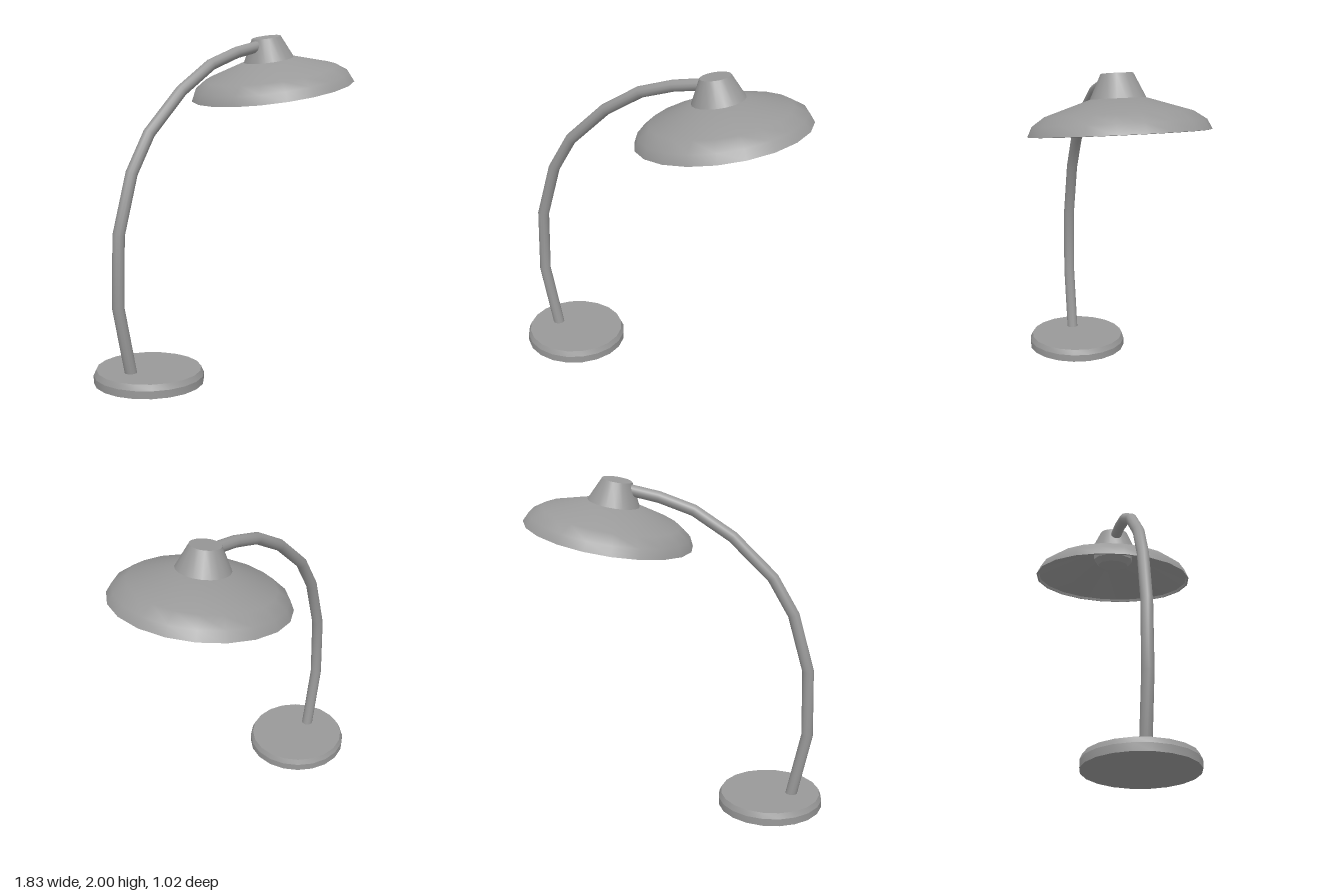
import * as THREE from 'three';
import { toCreasedNormals } from 'three/addons/utils/BufferGeometryUtils.js';

const material = () => new THREE.MeshStandardMaterial({ color: 0x999999 });

// Turned part: profile of [radius, height] pairs
function turned(name, profile, sides, crease) {
  const points = profile.map(([r, y]) => new THREE.Vector2(r, y));
  const geometry = toCreasedNormals(new THREE.LatheGeometry(points, sides), crease);
  const mesh = new THREE.Mesh(geometry, material());
  mesh.name = name;
  return mesh;
}

// Path that bends exactly at its given points, one tube segment per span
class BentPath extends THREE.Curve {
  constructor(points) {
    super();
    this.points = points;
  }
  getPoint(t, target = new THREE.Vector3()) {
    const n = this.points.length - 1;
    const i = Math.min(Math.floor(t * n + 1e-6), n - 1);
    return target.lerpVectors(this.points[i], this.points[i + 1], t * n - i);
  }
  getPointAt(u, target) {
    return this.getPoint(u, target);
  }
  // Average of the two neighbouring spans gives mitred bends
  getTangentAt(u, target = new THREE.Vector3()) {
    const i = Math.round(u * (this.points.length - 1));
    const p = this.points[i];
    const before = this.points[i - 1], after = this.points[i + 1];
    target.set(0, 0, 0);
    if (before) target.add(p.clone().sub(before).normalize());
    if (after) target.add(after.clone().sub(p).normalize());
    return target.normalize();
  }
}

export function createModel() {
  const model = new THREE.Group();
  model.name = 'deskLamp';

  // Round base with a bevelled top edge
  const base = turned('base', [[0, 0], [0.32, 0], [0.32, 0.045], [0.305, 0.078], [0, 0.078]], 20, 0.38);
  base.position.x = -0.6;
  model.add(base);

  // Bent arm from the base to the shade cap
  const path = new BentPath([
    [-0.725, 0.04], [-0.816, 0.475], [-0.805, 0.885], [-0.708, 1.225], [-0.58, 1.442],
    [-0.338, 1.674], [-0.108, 1.82], [0.1, 1.89], [0.32, 1.934],
  ].map(([x, y]) => new THREE.Vector3(x, y, 0)));
  const arm = new THREE.Mesh(new THREE.TubeGeometry(path, path.points.length - 1, 0.035, 12), material());
  arm.name = 'arm';
  model.add(arm);

  // Tilted head, its origin at the centre of the rim
  const head = new THREE.Group();
  head.name = 'head';
  head.position.set(0.41, 1.665, 0);
  head.rotation.z = THREE.MathUtils.degToRad(10.2);
  model.add(head);

  // Shade: inner cone, narrow rim lip, then the outer dome
  head.add(turned('shade', [
    [0, 0.177], [0.12, 0.174], [0.497, 0.01], [0.5, -0.006], [0.512, -0.004],
    [0.485, 0.052], [0.412, 0.102], [0.157, 0.185], [0, 0.19],
  ], 20, 0.6));

  // Tapered cap on top of the shade
  head.add(turned('cap', [[0.157, 0.184], [0.09, 0.323], [0, 0.323]], 20, 0.6));

  // Faceted bulb below the shade
  head.add(turned('bulb', [[0, 0.095], [0.1, 0.095], [0.13, 0.13], [0.13, 0.18]], 10, 0.1));

  return model;
}
